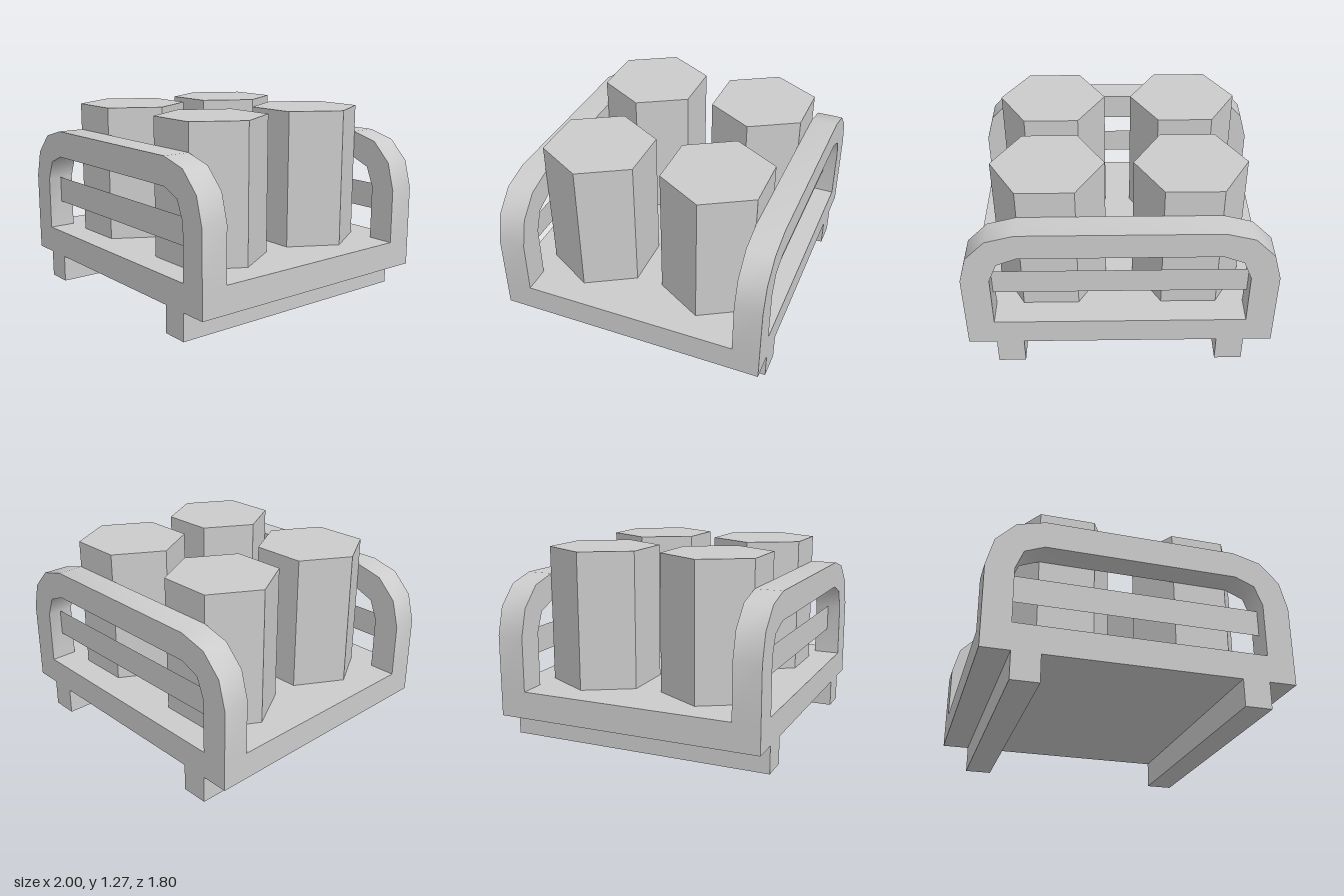
import * as THREE from 'three';
import { toCreasedNormals } from 'three/addons/utils/BufferGeometryUtils.js';

export function createModel() {
  const group = new THREE.Group();
  const grey = new THREE.MeshStandardMaterial({ color: 0xcccccc });
  const flat = new THREE.MeshStandardMaterial({ color: 0xcccccc, flatShading: true });
  const thin = new THREE.MeshStandardMaterial({ color: 0xcccccc, side: THREE.DoubleSide });

  const add = (name, geometry, material, x, y, z) => {
    const mesh = new THREE.Mesh(geometry, material);
    mesh.name = name;
    mesh.position.set(x, y, z);
    group.add(mesh);
    return mesh;
  };

  // Deck and the two runners beneath it
  add('deck', new THREE.BoxGeometry(2, 0.182, 1.8), grey, 0, 0.273, 0);
  for (const s of [1, -1]) {
    add(s > 0 ? 'leftRunner' : 'rightRunner',
      new THREE.BoxGeometry(0.18, 0.182, 1.8), grey, s * 0.727, 0.091, 0);
  }

  // Arched end frame: outer half profile going up, inner half profile coming down
  const outer = [[1, 0.364], [1, 0.727], [0.95, 0.91], [0.82, 1.042], [0.636, 1.091]];
  const inner = [[0.636, 0.91], [0.764, 0.858], [0.818, 0.727], [0.818, 0.364]];
  const mirror = (points) => points.map(([x, y]) => [-x, y]).reverse();
  const outline = [...outer, ...mirror(outer), ...mirror(inner), ...inner];
  const arch = new THREE.Shape(outline.map(([x, y]) => new THREE.Vector2(x, y)));
  const archGeometry = toCreasedNormals(
    new THREE.ExtrudeGeometry(arch, { depth: 0.18, bevelEnabled: false }).translate(0, 0, -0.09), 0.8);

  // Frames with a thin rail across the opening
  for (const s of [1, -1]) {
    const end = s > 0 ? 'front' : 'back';
    add(end + 'Frame', archGeometry, grey, 0, 0, s * 0.81);
    const rail = add(end + 'Rail', new THREE.PlaneGeometry(1.636, 0.18), thin, 0, 0.637, s * 0.81);
    if (s < 0) rail.rotation.y = Math.PI;
  }

  // Four hexagonal canisters
  const hexagon = new THREE.CylinderGeometry(0.364, 0.364, 0.91, 6).rotateY(Math.PI / 2);
  for (const x of [-0.455, 0.455]) {
    for (const z of [-0.406, 0.406]) {
      add((z > 0 ? 'front' : 'back') + (x > 0 ? 'Left' : 'Right') + 'Canister', hexagon, flat, x, 0.819, z);
    }
  }
  return group;
}
